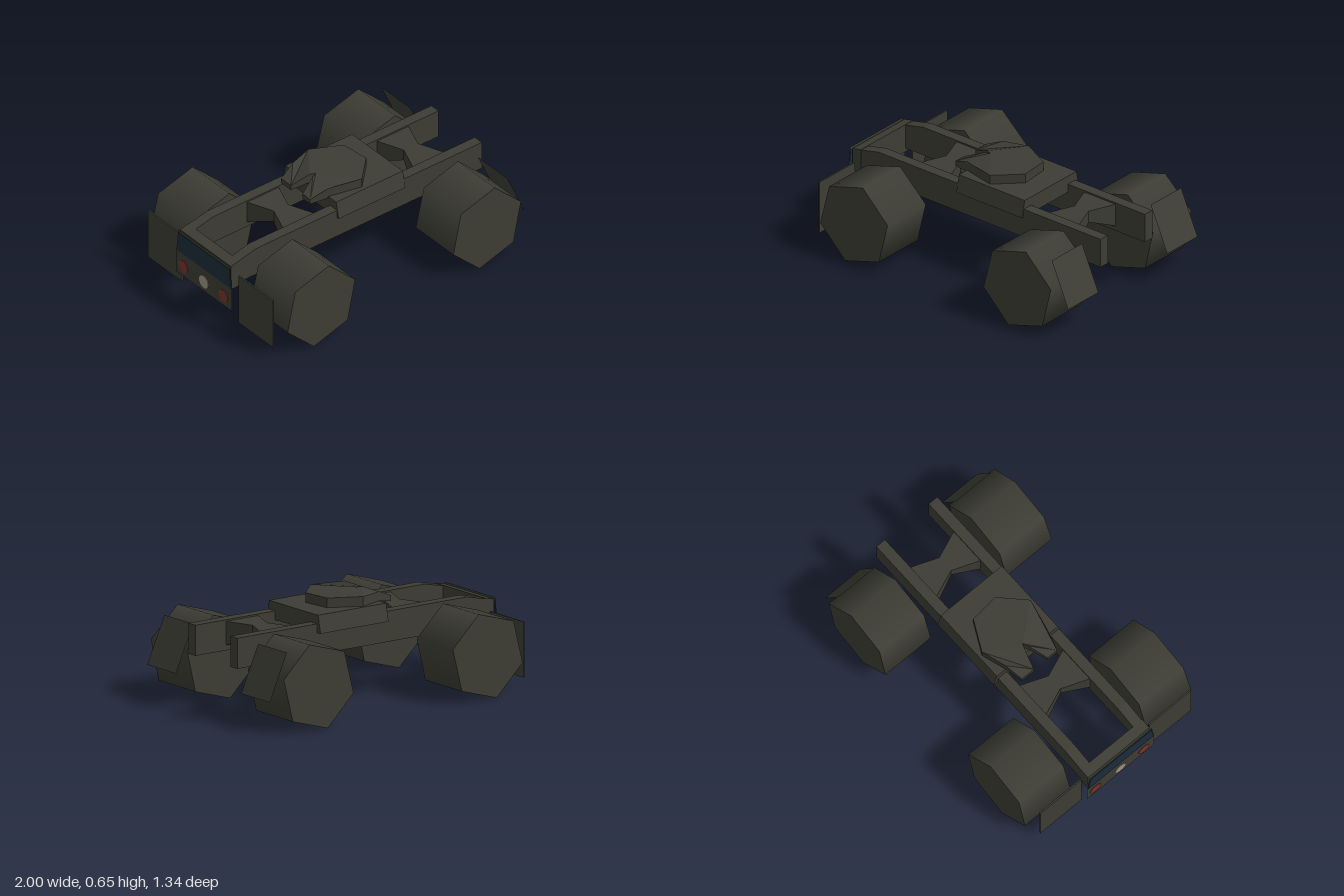
import * as THREE from 'three';

const paint = (name, color, side = THREE.FrontSide) => {
  const m = new THREE.MeshStandardMaterial({ color, side });
  m.name = name;
  return m;
};

export function createModel() {
  const olive = paint('dark olive', 0x3d3d35, THREE.DoubleSide);
  const blue = paint('window blue', 0x1b2c39);
  const red = paint('lamp red', 0x79332d);
  const cream = paint('lamp cream', 0x9c9483);
  const truck = new THREE.Group();
  truck.name = 'truckChassis';

  const add = (name, geometry, material = olive, x = 0, y = 0, z = 0) => {
    const mesh = new THREE.Mesh(geometry, material);
    mesh.name = name;
    mesh.position.set(x, y, z);
    truck.add(mesh);
    return mesh;
  };
  const outline = (pts) => new THREE.Shape(pts.map((p) => new THREE.Vector2(...p)));
  const extrude = (pts, depth) =>
    new THREE.ExtrudeGeometry(outline(pts), { depth, bevelEnabled: false });
  // Move every vertex of a geometry by a rule
  const warp = (geometry, rule) => {
    const p = geometry.attributes.position;
    const v = new THREE.Vector3();
    for (let i = 0; i < p.count; i++) {
      rule(v.fromBufferAttribute(p, i));
      p.setXYZ(i, v.x, v.y, v.z);
    }
    return geometry;
  };

  // Frame rails, dropping slightly at the -x end
  const railSide = [[-0.92, 0.345], [0.958, 0.345], [0.958, 0.535], [-0.78, 0.535], [-0.92, 0.503]];
  for (const z of [-0.25, 0.167]) add('frameRail', extrude(railSide, 0.069), olive, 0, 0, z);

  // End beam joining the rails
  const beamSide = [[-0.984, 0.322], [-0.918, 0.322], [-0.918, 0.507], [-0.984, 0.493]];
  add('endBeam', extrude(beamSide, 0.49), olive, 0, 0, -0.25);

  // Hourglass cross-members, arched underneath
  for (const x of [-0.398, 0.605]) {
    const brace = warp(new THREE.BoxGeometry(0.25, 0.15, 0.36, 1, 1, 2), (v) => {
      if (Math.abs(v.z) < 0.01) {
        v.x *= 0.44;
        if (v.y < 0) v.y += 0.075;
      }
    }).toNonIndexed();
    brace.computeVertexNormals();
    add('crossMember', brace, olive, x, 0.45, -0.008);
  }

  // Saddle with sloping sides
  const saddle = [[-0.268, 0.48], [0.268, 0.48], [0.243, 0.59], [-0.243, 0.59]];
  const saddleGeo = extrude(saddle, 0.515);
  saddleGeo.rotateY(Math.PI / 2);
  add('saddle', saddleGeo, olive, -0.16, 0, -0.017);

  // Coupling plate: notched outline with down-sloping horns
  const plan = [
    [0, 0.24], [-0.16, 0.19], [-0.275, 0.16], [-0.275, 0.065], [-0.155, 0.033], [-0.12, 0.02],
    [-0.155, 0.004], [-0.275, -0.045], [-0.275, -0.12], [-0.16, -0.15], [0.06, -0.2],
    [0.214, -0.05], [0.195, 0.14],
  ];
  const coupling = extrude(plan, 0.06);
  coupling.rotateX(-Math.PI / 2);
  warp(coupling, (v) => {
    if (v.x < -0.2) v.y = v.y > 0.03 ? 0.012 : -0.022;
  });
  coupling.computeVertexNormals();
  add('couplingPlate', coupling, olive, 0, 0.59, 0);

  // Six-sided wheels with a slight lean on the outer face
  for (const x of [-0.622, 0.658]) {
    for (const s of [-1, 1]) {
      const wheel = new THREE.CylinderGeometry(0.274, 0.274, 0.36, 6);
      wheel.rotateX(Math.PI / 2);
      wheel.rotateZ(-0.234);
      warp(wheel, (v) => {
        if (v.z * s > 0) v.z -= s * v.y * 0.026;
      });
      add('wheel', wheel, olive, x, 0.271, s * 0.481 - 0.002);
    }
  }

  // Upright flaps at the -x end, slanted flaps at the +x end
  for (const s of [-1, 1]) {
    add('uprightFlap', new THREE.BoxGeometry(0.01, 0.345, 0.33), olive, -0.945, 0.252, s * 0.435);
    const flap = warp(new THREE.PlaneGeometry(0.285, 0.29).rotateY(Math.PI / 2), (v) => {
      v.x = -v.y * 0.445;
    });
    flap.computeVertexNormals();
    add('slantedFlap', flap, olive, 0.935, 0.36, s * 0.465 - 0.018);
  }

  // Thin end panel with window band and lamps
  const panel = new THREE.ShapeGeometry(
    outline([[-0.267, 0.18], [0.267, 0.18], [0.267, 0.345], [0.248, 0.5], [-0.248, 0.5], [-0.267, 0.345]]));
  panel.rotateY(Math.PI / 2);
  add('endPanel', panel, olive, -0.997);
  const band = extrude([[-0.26, 0.345], [0.26, 0.345], [0.244, 0.48], [-0.244, 0.48]], 0.006);
  band.rotateY(Math.PI / 2);
  add('windowBand', band, blue, -1);
  for (const [z, m] of [[-0.2, red], [-0.003, cream], [0.184, red]]) {
    const lamp = new THREE.CylinderGeometry(0.043, 0.043, 0.006, 24);
    lamp.rotateZ(Math.PI / 2);
    add('lamp', lamp, m, -0.997, 0.25, z);
  }
  return truck;
}
